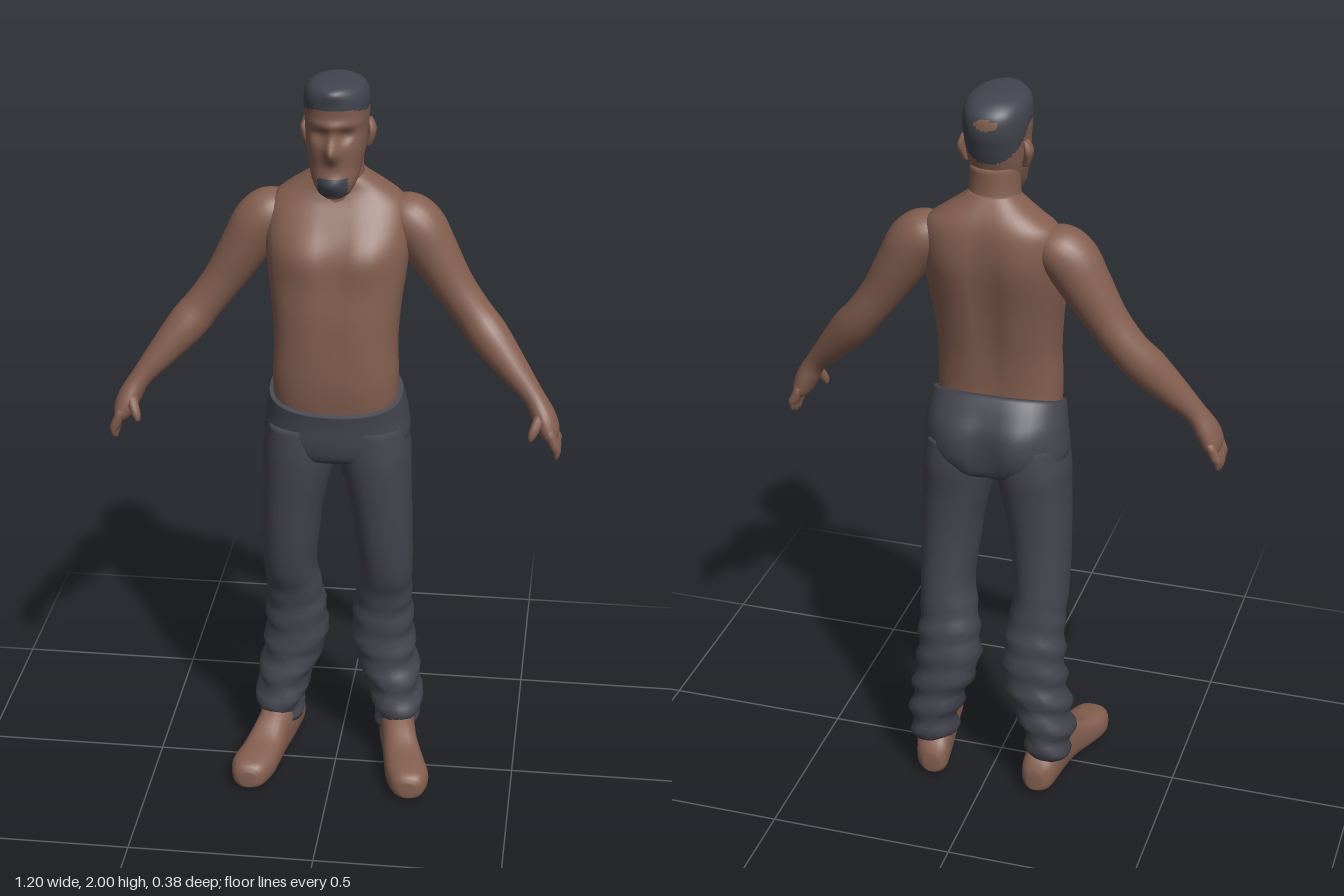
import * as THREE from 'three';

const skin = new THREE.MeshStandardMaterial({ color: 0x845f50 });
skin.name = 'skin';
const cloth = new THREE.MeshStandardMaterial({ color: 0x45464f });
cloth.name = 'dark cloth';
const hair = new THREE.MeshStandardMaterial({ color: 0x42454f });
hair.name = 'hair';

const X = new THREE.Vector3(1, 0, 0), Y = new THREE.Vector3(0, 1, 0), Z = new THREE.Vector3(0, 0, 1);
const bump = (a, b, w, h = w) => Math.exp(-((a / w) ** 2) - (b / h) ** 2);
const clamp = THREE.MathUtils.clamp;

// Smooth interpolation through rows of numbers
function refine(rows, steps) {
  const out = [], at = i => rows[clamp(i, 0, rows.length - 1)];
  for (let i = 0; i < rows.length - 1; i++) {
    for (let s = 0; s < steps; s++) {
      const t = s / steps;
      out.push(rows[i].map((b, k) => {
        const a = at(i - 1)[k], c = at(i + 1)[k], d = at(i + 2)[k];
        return b + 0.5 * t * (c - a + t * (2 * a - 5 * b + 4 * c - d + t * (3 * (b - c) + d - a)));
      }));
    }
  }
  out.push(rows[rows.length - 1]);
  return out;
}

// Skin over cross-sections [x, y, z, radiusU, radiusV], capped at both ends
function loft(name, rows, o = {}) {
  const { n = 24, steps = 4, p = 1, u, v = Z, warp, side = 1, mats = [skin], pick = () => 0 } = o;
  const R = refine(rows, steps), pts = [];
  const centre = r => new THREE.Vector3(r[0], r[1], r[2]);
  const pw = c => Math.sign(c) * Math.abs(c) ** p;
  R.forEach((r, i) => {
    const t = centre(R[Math.min(i + 1, R.length - 1)]).sub(centre(R[Math.max(i - 1, 0)]));
    const uu = u || t.cross(Z).normalize();
    for (let j = 0; j < n; j++) {
      const a = j / n * Math.PI * 2;
      const q = centre(r).addScaledVector(uu, r[3] * pw(Math.cos(a))).addScaledVector(v, r[4] * pw(Math.sin(a)));
      if (warp) warp(q);
      pts.push(q);
    }
  });
  const last = (R.length - 1) * n, mid = s => {
    const c = new THREE.Vector3();
    for (let j = 0; j < n; j++) c.addScaledVector(pts[s + j], 1 / n);
    return c;
  };
  pts.push(mid(0), mid(last));
  const lists = mats.map(() => []);
  const tri = (a, b, c) => {
    const m = pts[a].clone().add(pts[b]).add(pts[c]).divideScalar(3);
    lists[pick(m)].push(a, ...(side > 0 ? [b, c] : [c, b]));
  };
  for (let j = 0; j < n; j++) {
    const k = (j + 1) % n;
    tri(last + n, j, k);
    tri(last + n + 1, last + k, last + j);
    for (let i = 0; i < last; i += n) {
      tri(i + j, i + n + j, i + k);
      tri(i + k, i + n + j, i + n + k);
    }
  }
  const g = new THREE.BufferGeometry().setFromPoints(pts.map(q => q.set(q.x * side, q.y, q.z)));
  g.setIndex(lists.flat());
  let start = 0;
  lists.forEach((l, i) => { g.addGroup(start, l.length, i); start += l.length; });
  g.computeVertexNormals();
  const mesh = new THREE.Mesh(g, mats.length > 1 ? mats : mats[0]);
  mesh.name = name;
  return mesh;
}

// Horizontal section: height, half width, front z, back z, centre x
const level = ([y, w, f, b, x = 0]) => [x, y, (f + b) / 2, w, (f - b) / 2];

export function createModel() {
  const model = new THREE.Group();
  model.name = 'man';

  // Bare torso with chest muscles, spine groove and shoulder blades
  model.add(loft('torso', [
    [1.04, .14, .07, -.10], [1.12, .162, .085, -.108], [1.2, .166, .094, -.108], [1.3, .163, .095, -.12],
    [1.4, .17, .092, -.14], [1.5, .183, .078, -.16], [1.57, .188, .06, -.17], [1.63, .184, .03, -.172],
    [1.67, .168, .005, -.168], [1.7, .13, -.008, -.158], [1.73, .085, -.012, -.14], [1.75, .06, -.02, -.125],
  ].map(level), { n: 40, p: .82, u: X, warp: q => {
    const ax = Math.abs(q.x);
    if (q.z > 0) q.z += .018 * bump(ax - .08, q.y - 1.54, .07, .06) - .006 * bump(ax, q.y - 1.5, .02, .2);
    if (q.z < -.06) q.z += .018 * bump(ax, q.y - 1.42, .03, .22) - .01 * bump(ax - .09, q.y - 1.58, .06, .09);
  } }));

  model.add(loft('neck', [
    [1.65, .085, 0, -.15], [1.7, .075, 0, -.14], [1.75, .067, .002, -.122], [1.82, .064, .01, -.12],
  ].map(level), { u: X }));

  // Head: hair, bald patch and goatee are coloured by region
  model.add(loft('head', [
    [1.705, .022, .062, .02], [1.72, .042, .07, -.005], [1.75, .059, .074, -.05], [1.79, .069, .074, -.1],
    [1.83, .076, .077, -.12], [1.88, .08, .076, -.137], [1.92, .083, .08, -.147], [1.96, .082, .083, -.143],
    [1.985, .07, .075, -.12], [1.997, .045, .055, -.09], [2, .012, .01, -.04],
  ].map(level), { n: 56, steps: 6, p: .9, u: X, mats: [skin, hair], warp: q => {
    const ax = Math.abs(q.x);
    if (q.z < 0) return;
    q.z += .028 * bump(ax, q.y - 1.83, .016, .025) + .012 * bump(ax, q.y - 1.86, .012, .03)
      - .014 * bump(ax - .034, q.y - 1.872, .02, .016) + .008 * bump(ax, q.y - 1.9, .07, .012)
      + .012 * bump(ax, q.y - 1.745, .03, .022) + .01 * bump(ax, q.y - 1.985, .03, .02);
  }, pick: m => {
    if (m.z < -.12 && bump(m.x, m.y - 1.945, .03, .014) > .37) return 0;
    const line = m.z > -.04 ? 1.925 + .015 * clamp(m.z / .07, 0, 1) : 1.925 + (m.z + .04) * 1.05;
    if (m.y > line) return 1;
    return m.z > .035 && Math.abs(m.x) < .038 && m.y > 1.712 && m.y < 1.762 ? 1 : 0;
  } }));

  // Trousers: seat with a waistband that rises toward the back
  model.add(loft('trouserSeat', [
    [.955, .1, .04, -.13], [.975, .165, .075, -.16], [1.02, .195, .088, -.174], [1.08, .19, .091, -.172],
    [1.12, .184, .093, -.15], [1.16, .177, .096, -.122],
  ].map(level), { n: 40, p: .85, u: X, mats: [cloth], warp: q => {
    const ax = Math.abs(q.x);
    if (q.z < -.05) q.z += .02 * bump(ax, q.y - 1.03, .025, .07) - .014 * bump(ax - .09, q.y - 1.06, .06, .06);
    q.y += clamp((q.y - 1.04) / .12, 0, 1) * clamp(-(q.z + .025) * .38, -.048, .042);
  } }));

  for (const side of [1, -1]) {
    const tag = side > 0 ? 'left' : 'right';
    const add = (name, rows, o) => model.add(loft(tag + name, rows, { side, ...o }));

    // Ear
    add('Ear', [
      [.076, 1.815, -.05, .01, .01], [.083, 1.835, -.052, .011, .018],
      [.087, 1.86, -.056, .011, .024], [.08, 1.885, -.058, .008, .012],
    ], { n: 12, u: X });

    // Trouser leg with folds gathered at the hem
    add('TrouserLeg', [
      [.105, .055, -.015, -.17, .165], [.16, .065, 0, -.184, .167], [.25, .074, -.012, -.184, .15],
      [.35, .086, -.02, -.183, .124], [.45, .083, -.015, -.177, .122], [.52, .077, -.004, -.165, .125],
      [.6, .072, .028, -.157, .133], [.7, .077, .05, -.15, .128], [.8, .082, .064, -.15, .121],
      [.9, .092, .077, -.157, .108], [.98, .098, .084, -.168, .1], [1.06, .09, .082, -.165, .095],
    ].map(level), { n: 28, p: .9, u: X, mats: [cloth], warp: q => {
      const fold = .008 * clamp((.6 - q.y) / .3, 0, 1) * Math.sin(q.y * 75 + q.z * 25 + q.x * 12);
      q.x += fold * Math.sign(q.x - .14);
      q.z += fold * .6 * Math.sign(q.z + .09);
    } });

    // Foot, toe to heel, turned outward
    add('Foot', [
      [.222, .04, .194, .022, .022], [.221, .045, .178, .045, .038], [.215, .049, .13, .06, .045],
      [.2, .056, .07, .056, .05], [.183, .074, .01, .05, .067], [.17, .085, -.05, .05, .078],
      [.16, .082, -.12, .05, .074], [.153, .062, -.17, .044, .052], [.15, .05, -.19, .022, .028],
    ], { u: X, v: Y, p: .8, warp: q => { q.y = Math.max(q.y, .006 * (1 - clamp(q.z * 6, 0, 1))); } });

    // Arm from deltoid to palm
    add('Arm', [
      [.13, 1.645, -.085, .03, .045], [.165, 1.625, -.083, .062, .068], [.205, 1.59, -.081, .072, .074],
      [.245, 1.525, -.079, .066, .068], [.3, 1.435, -.075, .055, .056], [.355, 1.36, -.068, .051, .053],
      [.4, 1.305, -.05, .053, .055], [.46, 1.235, -.024, .042, .047], [.52, 1.165, .002, .029, .036],
      [.55, 1.115, .015, .031, .047], [.568, 1.075, .02, .027, .05], [.576, 1.055, .02, .014, .042],
    ], {});

    // Fingers and thumb
    for (let i = 0; i < 4; i++) {
      const z = -.018 + i * .025, drop = [.018, .004, 0, .012][i];
      add('Finger' + (i + 1), [
        [.565, 1.09, z, .013, .014], [.582, 1.05, z, .013, .014],
        [.589, 1.022 + drop, z, .011, .012], [.588, 1 + drop, z, .005, .006],
      ], { n: 10, steps: 2 });
    }
    add('Thumb', [
      [.545, 1.13, .035, .016, .018], [.532, 1.1, .057, .014, .016],
      [.523, 1.078, .067, .011, .012], [.52, 1.064, .07, .005, .006],
    ], { n: 10, steps: 2 });
  }
  return model;
}
